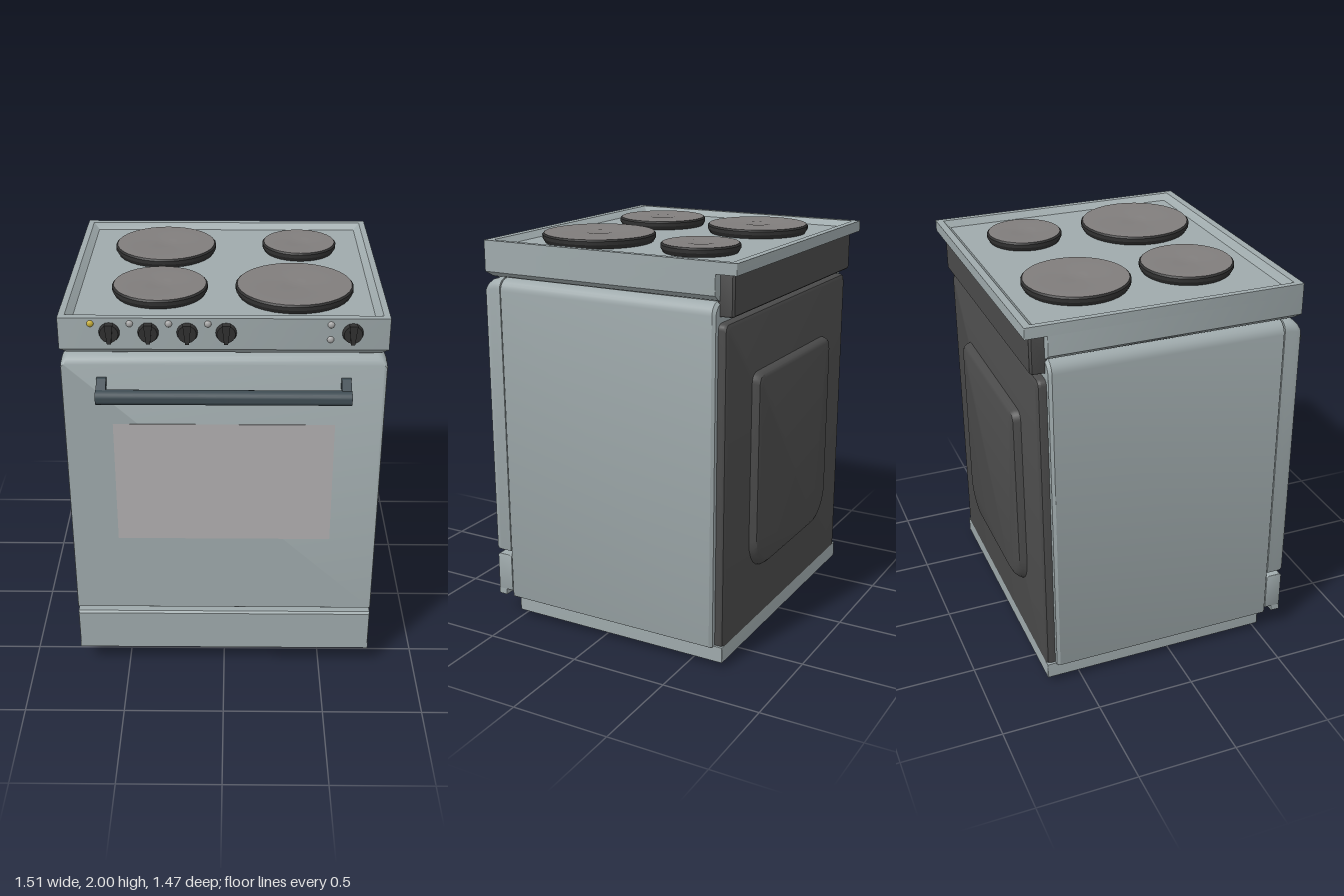
import * as THREE from 'three';
import { toCreasedNormals } from 'three/addons/utils/BufferGeometryUtils.js';

const mat = (color) => new THREE.MeshStandardMaterial({ color });
const enamel = mat(0x9faaac);
const dark = mat(0x4a4a4a);
const black = mat(0x303030);
const iron = mat(0x807d7c);
const steel = mat(0x3f4c53);
const glass = mat(0xb1afb0);
const lampGrey = mat(0xaaaaaa);
const lampYellow = mat(0xc9b03a);

function add(parent, name, geometry, material) {
  const mesh = new THREE.Mesh(geometry, material);
  mesh.name = name;
  parent.add(mesh);
  return mesh;
}

// Rounded-rectangle outline, counter-clockwise, with own radii for top and bottom corners
function outline([x0, x1, y0, y1, , rTop = 0.003, rBottom = 0.003]) {
  const steps = 6;
  const corners = [
    [x1 - rBottom, y0 + rBottom, rBottom, -Math.PI / 2],
    [x1 - rTop, y1 - rTop, rTop, 0],
    [x0 + rTop, y1 - rTop, rTop, Math.PI / 2],
    [x0 + rBottom, y0 + rBottom, rBottom, Math.PI],
  ];
  const points = [];
  for (const [cx, cy, r, start] of corners) {
    for (let i = 0; i <= steps; i++) {
      const a = start + (i / steps) * Math.PI / 2;
      points.push([cx + r * Math.cos(a), cy + r * Math.sin(a)]);
    }
  }
  return points;
}

// Skin over rings [x0, x1, y0, y1, z, rTop, rBottom] stacked along z, capped at both ends
function loft(rings, crease = 0.55) {
  const positions = [], index = [];
  let n = 0;
  for (const ring of rings) {
    const points = outline(ring);
    n = points.length;
    for (const [x, y] of points) positions.push(x, y, ring[4]);
  }
  for (let k = 0; k < rings.length - 1; k++) {
    for (let j = 0; j < n; j++) {
      const a = k * n + j, b = k * n + (j + 1) % n;
      index.push(a, b, b + n, a, b + n, a + n);
    }
  }
  const last = (rings.length - 1) * n;
  for (let j = 1; j < n - 1; j++) {
    index.push(0, j + 1, j);
    index.push(last, last + j, last + j + 1);
  }
  const geometry = new THREE.BufferGeometry();
  geometry.setAttribute('position', new THREE.Float32BufferAttribute(positions, 3));
  geometry.setIndex(index);
  return toCreasedNormals(geometry, crease);
}

// Rings given as [half width, back z, front z, height], stacked upwards
const loftUp = (rings) =>
  loft(rings.map(([w, back, front, y]) => [-w, w, -front, -back, y])).rotateX(-Math.PI / 2);

// Rings given as [half width, y0, y1, depth, rTop, rBottom], stacked towards the back
const loftBack = (rings) =>
  loft(rings.map(([w, ...rest]) => [-w, w, ...rest])).rotateY(Math.PI);

function createBurner(x, z, r) {
  const burner = new THREE.Group();
  burner.name = 'burner';
  burner.position.set(x, 0, z);
  const lathe = (pts) =>
    toCreasedNormals(new THREE.LatheGeometry(pts.map((p) => new THREE.Vector2(...p)), 32), 0.5);
  add(burner, 'burnerRim', lathe([[r - 0.012, 1.955], [r, 1.975], [r, 1.992], [r - 0.008, 2]]), black);
  add(burner, 'burnerPlate', lathe([[r - 0.008, 2], [0.07, 2], [0.05, 1.997], [0, 1.996]]), iron);
  return burner;
}

function createKnob(x) {
  const knob = new THREE.Group();
  knob.name = 'knob';
  knob.position.set(x, 1.915, 0.628);
  const disc = new THREE.CylinderGeometry(0.042, 0.048, 0.022, 24).rotateX(Math.PI / 2);
  add(knob, 'knobDisc', toCreasedNormals(disc, 0.6), black).position.z = 0.011;
  // Finger grip, wider at the top
  const grip = new THREE.Shape([[-0.009, -0.045], [0.009, -0.045], [0.019, 0.046], [-0.019, 0.046]]
    .map((p) => new THREE.Vector2(...p)));
  const gripGeometry = new THREE.ExtrudeGeometry(grip, { depth: 0.034, bevelEnabled: false });
  add(knob, 'knobGrip', gripGeometry, black);
  return knob;
}

function createHandle() {
  const handle = new THREE.Group();
  handle.name = 'handle';
  const bar = new THREE.CylinderGeometry(0.035, 0.035, 1.18, 24).rotateZ(Math.PI / 2);
  add(handle, 'handleBar', toCreasedNormals(bar, 0.6), steel).position.set(0, 1.622, 0.7);
  // Arm profile drawn as (z, y), then turned so that its thickness runs along x
  const arm = new THREE.Shape([[0.625, 1.655], [0.69, 1.61], [0.715, 1.645], [0.65, 1.69], [0.625, 1.692]]
    .map((p) => new THREE.Vector2(...p)));
  for (const side of [-1, 1]) {
    const geometry = new THREE.ExtrudeGeometry(arm, { depth: 0.045, bevelEnabled: false });
    geometry.translate(0, 0, -0.0225).rotateY(-Math.PI / 2).scale(1, 1, 1);
    add(handle, 'handleArm', geometry, steel).position.x = side * 0.566;
  }
  return handle;
}

export function createModel() {
  const stove = new THREE.Group();
  stove.name = 'stove';

  // Cabinet with rounded upper edges
  add(stove, 'cabinet', loft([
    [-0.745, 0.745, 0.11, 1.79, -0.63, 0.06],
    [-0.755, 0.755, 0.11, 1.8, -0.615, 0.06],
    [-0.755, 0.755, 0.11, 1.8, 0.54, 0.06],
  ]), enamel);

  // Plinth, hollow underneath
  add(stove, 'plinth', loftUp([
    [0.7, -0.635, 0.49, 0.085], [0.7, -0.635, 0.49, 0.03],
    [0.73, -0.675, 0.515, 0.03], [0.73, -0.675, 0.515, 0.11],
  ]), enamel);

  // Tapered feet
  for (const x of [-0.575, 0.575]) {
    for (const z of [-0.42, 0.325]) {
      const foot = loft([
        [-0.043, 0.043, -0.07, 0.07, 0], [-0.055, 0.055, -0.088, 0.088, 0.03],
        [-0.06, 0.06, -0.095, 0.095, 0.086],
      ]).rotateX(-Math.PI / 2);
      add(stove, 'foot', foot, enamel).position.set(x, 0, z);
    }
  }

  // Hob with control panel, rear overhang and sunken top
  add(stove, 'hob', loftUp([
    [0.69, -0.63, 0.575, 1.795], [0.725, -0.63, 0.605, 1.808], [0.755, -0.63, 0.628, 1.832],
    [0.755, -0.63, 0.628, 1.93], [0.755, -0.735, 0.628, 1.93], [0.755, -0.735, 0.628, 1.985],
    [0.725, -0.7, 0.59, 1.985], [0.695, -0.67, 0.56, 1.955],
  ]), enamel);

  for (const [x, z, r] of [
    [-0.31, -0.335, 0.26], [0.382, -0.363, 0.191], [-0.31, 0.232, 0.23], [0.335, 0.232, 0.283],
  ]) stove.add(createBurner(x, z, r));

  for (const x of [-0.52, -0.343, -0.166, 0.011, 0.585]) stove.add(createKnob(x));

  // Indicator lamps
  const lamps = [[-0.605, 1.958], [-0.427, 1.958], [-0.25, 1.958], [-0.072, 1.958], [0.485, 1.956], [0.485, 1.884]];
  lamps.forEach(([x, y], i) => {
    const lamp = new THREE.SphereGeometry(0.016, 14, 10).scale(1, 1, 0.7);
    add(stove, 'indicatorLamp', lamp, i === 0 ? lampYellow : lampGrey).position.set(x, y, 0.628);
  });

  // Oven door with a rounded top edge, window and handle
  add(stove, 'ovenDoor', loft([
    [-0.755, 0.755, 0.365, 1.8, 0.545, 0.05],
    [-0.755, 0.755, 0.365, 1.8, 0.575, 0.05],
    [-0.755, 0.755, 0.365, 1.79, 0.605, 0.045],
    [-0.755, 0.755, 0.367, 1.775, 0.62, 0.035],
    [-0.752, 0.752, 0.375, 1.755, 0.63, 0.02],
  ]), enamel);
  add(stove, 'ovenWindow', new THREE.BoxGeometry(1.05, 0.645, 0.006), glass).position.set(0, 1.1225, 0.63);
  stove.add(createHandle());

  // Drawer front with a lip below
  add(stove, 'drawer', loft([
    [-0.755, 0.755, 0.14, 0.335, 0.545],
    [-0.755, 0.755, 0.14, 0.34, 0.555],
    [-0.755, 0.755, 0.14, 0.34, 0.62],
    [-0.752, 0.752, 0.14, 0.33, 0.63],
  ]), enamel);
  add(stove, 'drawerLip', new THREE.BoxGeometry(1.51, 0.032, 0.045), enamel).position.set(0, 0.126, 0.6065);

  // Rear panel, its raised cover and the strip below the overhang
  add(stove, 'rearPanel', loftBack([
    [0.72, 0.11, 1.7, 0.62, 0.03], [0.72, 0.11, 1.7, 0.655, 0.03],
    [0.715, 0.11, 1.695, 0.667, 0.03], [0.7, 0.11, 1.68, 0.675, 0.03],
  ]), dark);
  add(stove, 'rearCover', loftBack([
    [0.45, 0.38, 1.415, 0.67, 0.05, 0.17], [0.443, 0.395, 1.41, 0.695, 0.05, 0.165],
    [0.435, 0.41, 1.4, 0.71, 0.045, 0.16], [0.42, 0.425, 1.385, 0.717, 0.04, 0.15],
  ]), dark);
  add(stove, 'rearStrip', loftBack([
    [0.705, 1.73, 1.932, 0.62], [0.705, 1.73, 1.932, 0.69, 0.003, 0.01], [0.697, 1.738, 1.932, 0.7, 0.003, 0.01],
  ]), dark);

  return stove;
}
